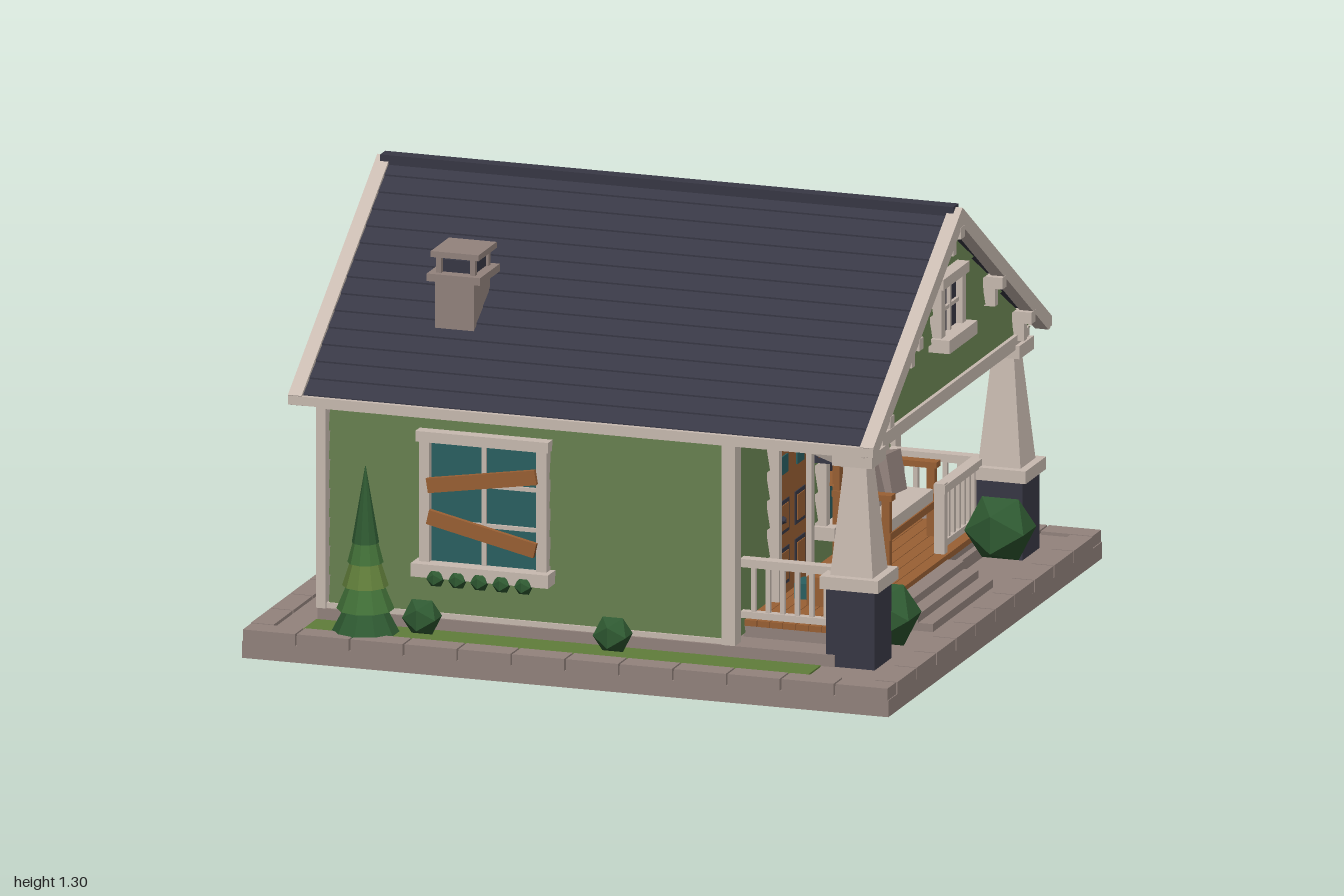
import * as THREE from 'three';

const mat = (name, color) => new THREE.MeshStandardMaterial({ name, color });

export function createModel() {
  const root = new THREE.Group();
  root.name = 'cottage';
  const M = {
    navy: mat('slate navy', 0x383845), green: mat('siding green', 0x627a4c), trim: mat('cream trim', 0xc9bbb1),
    stone: mat('brown stone', 0x93837d), wood: mat('warm wood', 0x9a6034), teal: mat('teal glass', 0x2a6062),
    leaf: mat('dark leaf', 0x2f5a32), grass: mat('grass green', 0x617e3a), mid: mat('mid leaf', 0x427038),
  };

  const add = (name, geo, m, x = 0, y = 0, z = 0, parent = root) => {
    const mesh = new THREE.Mesh(geo, m);
    mesh.name = name;
    mesh.position.set(x, y, z);
    parent.add(mesh);
    return mesh;
  };
  // box given by its limits
  const box = (name, m, x0, x1, y0, y1, z0, z1, parent = root) =>
    add(name, new THREE.BoxGeometry(x1 - x0, y1 - y0, z1 - z0), m, (x0 + x1) / 2, (y0 + y1) / 2, (z0 + z1) / 2, parent);
  const group = (name, x, y, z, turn = 0, parent = root) => {
    const g = new THREE.Group();
    g.name = name;
    g.position.set(x, y, z);
    g.rotation.y = turn;
    parent.add(g);
    return g;
  };
  const flat = (geo) => {
    const g = geo.toNonIndexed();
    g.computeVertexNormals();
    return g;
  };
  // faceted frustum; four sides make a square one aligned to the axes
  const frustum = (top, bottom, h, n) => {
    const k = n === 4 ? Math.SQRT2 : 1;
    const g = new THREE.CylinderGeometry(top * k, bottom * k, h, n);
    if (n === 4) g.rotateY(Math.PI / 4);
    return flat(g);
  };
  // profile in (z, y) stretched along x
  const extrudeX = (pts, x0, x1) => new THREE.ExtrudeGeometry(
    new THREE.Shape(pts.map(p => new THREE.Vector2(...p))), { depth: x1 - x0, bevelEnabled: false })
    .rotateY(Math.PI / 2).translate(x0, 0, 0);
  // bar between two points
  const bar = (name, m, a, b, t, parent = root) => {
    const A = new THREE.Vector3(...a), B = new THREE.Vector3(...b);
    const mesh = add(name, new THREE.BoxGeometry(t, t, A.distanceTo(B)), m, 0, 0, 0, parent);
    mesh.position.copy(A).add(B).multiplyScalar(0.5);
    mesh.quaternion.setFromUnitVectors(new THREE.Vector3(0, 0, 1), B.sub(A).normalize());
  };
  // overlapping boards facing local +z, with half width as a function of height
  const siding = (name, y0, y1, n, half, x, z, turn) => {
    const p = [], h = (y1 - y0) / n, o = 0.014;
    const quad = (a, b, c, d) => p.push(...a, ...b, ...c, ...a, ...c, ...d);
    for (let i = 0; i < n; i++) {
      const yb = y0 + i * h, yt = yb + h, hb = half(yb), ht = half(yt);
      quad([-hb, yb, o], [hb, yb, o], [ht, yt, 0], [-ht, yt, 0]);
      quad([-hb, yb, 0], [hb, yb, 0], [hb, yb, o], [-hb, yb, o]);
    }
    const g = new THREE.BufferGeometry();
    g.setAttribute('position', new THREE.Float32BufferAttribute(p, 3));
    g.computeVertexNormals();
    add(name, g, M.green, x, 0, z).rotation.y = turn;
  };
  const Q = Math.PI / 2;

  // stone base with a ring of curb stones
  box('baseSlab', M.stone, -1, 1, 0, 0.05, -0.94, 0.94);
  box('ground', M.stone, -0.985, 0.985, 0.05, 0.076, -0.925, 0.925);
  for (const s of [-1, 1]) {
    for (let i = 0; i < 12; i++) {
      const x = -1 + i / 6;
      box('curbStone', M.stone, x + 0.003, x + 1 / 6 - 0.003, 0.05, 0.086, s * 0.903 - 0.037, s * 0.903 + 0.037);
    }
    for (let i = 0; i < 10; i++) {
      const z = -0.862 + i * 0.1724;
      box('curbStone', M.stone, s * 0.965 - 0.035, s * 0.965 + 0.035, 0.05, 0.086, z + 0.003, z + 0.1694);
    }
    box('grassStrip', M.grass, -0.84, 0.72, 0.076, 0.081, s * 0.8 - 0.06, s * 0.8 + 0.06);
  }
  box('foundation', M.stone, -0.84, 0.76, 0.07, 0.112, -0.73, 0.73);

  // house walls
  box('houseCore', M.green, -0.81, 0.43, 0.11, 0.74, -0.7, 0.7);
  for (const s of [-1, 1]) siding('sideSiding', 0.125, 0.735, 7, () => 0.62, -0.19, s * 0.702, s > 0 ? 0 : Math.PI);
  siding('porchSiding', 0.125, 0.735, 7, () => 0.7, 0.432, 0, Q);
  siding('backSiding', 0.125, 0.735, 7, () => 0.7, -0.812, 0, -Q);
  const gableHalf = y => Math.max(0, (1.245 - y) / 0.68);
  siding('backGableSiding', 0.735, 1.245, 6, gableHalf, -0.812, 0, -Q);
  siding('frontGableSiding', 0.735, 1.245, 6, gableHalf, 0.832, 0, Q);
  const gable = [[-0.75, 0.735], [0.75, 0.735], [0, 1.245]];
  add('backGable', extrudeX(gable, -0.81, -0.78), M.green);
  add('frontGable', extrudeX(gable, 0.8, 0.83), M.green);
  for (const s of [-1, 1]) {
    box('frontCorner', M.trim, 0.41, 0.452, 0.112, 0.735, s * 0.705 - 0.025, s * 0.705 + 0.025);
    box('backCorner', M.trim, -0.845, -0.815, 0.112, 0.735, s * 0.705 - 0.025, s * 0.705 + 0.025);
    box('sideSkirt', M.trim, -0.83, 0.43, 0.108, 0.128, s * 0.71 - 0.012, s * 0.71 + 0.012);
    box('eaveBeam', M.trim, -0.82, 0.85, 0.715, 0.745, s * 0.7 - 0.03, s * 0.7 + 0.03);
  }
  box('backSkirt', M.trim, -0.835, -0.81, 0.108, 0.128, -0.7, 0.7);
  box('backBand', M.trim, -0.835, -0.81, 0.715, 0.745, -0.7, 0.7);

  // roof with shallow shingle courses
  const slope = z => 1.28 - 0.675 * z, right = [], n = 14;
  for (let i = 0; i < n; i++) {
    const a = 0.77 * i / n, b = 0.77 * (i + 1) / n;
    right.push([a, slope(a)], [b, slope(b) + 0.005]);
  }
  const left = right.map(([z, y]) => [-z, y]).reverse();
  add('roof', extrudeX([...right, [0.77, 0.74], [0, 1.245], [-0.77, 0.74], ...left.slice(0, -1)], -0.872, 0.857), M.navy);
  const barge = [[0, 1.292], [0.786, 0.764], [0.77, 0.73], [0.755, 0.73], [0, 1.236], [-0.755, 0.73], [-0.77, 0.73], [-0.786, 0.764]];
  for (const x of [-0.912, 0.857]) add('bargeBoard', extrudeX(barge, x, x + 0.042), M.trim);
  for (const s of [-1, 1]) box('fascia', M.trim, -0.912, 0.899, 0.735, 0.762, s * 0.776 - 0.01, s * 0.776 + 0.01);
  box('ridgeCap', M.navy, -0.895, 0.878, 1.268, 1.297, -0.022, 0.022);
  box('porchCeiling', M.navy, 0.43, 0.83, 0.735, 0.742, -0.72, 0.72);
  box('porchBeam', M.trim, 0.78, 0.856, 0.707, 0.748, -0.7, 0.7);

  // gable brackets under the roof edge
  for (const x of [0.87, -0.85]) for (const [z, y] of [[0, 1.2], [0.365, 0.955], [-0.365, 0.955], [0.62, 0.785], [-0.62, 0.785]]) {
    box('bracketArm', M.trim, x - 0.03, x + 0.03, y, y + 0.035, z - 0.018, z + 0.018);
    box('bracketFoot', M.trim, x - 0.03, x + 0.005, y - 0.055, y, z - 0.013, z + 0.013);
  }

  // chimney
  box('chimney', M.stone, -0.55, -0.43, 0.88, 1.08, 0.38, 0.52);
  box('chimneyLedge', M.stone, -0.57, -0.405, 1.075, 1.098, 0.363, 0.537);
  box('chimneyFlue', M.navy, -0.54, -0.435, 1.098, 1.135, 0.4, 0.5);
  for (const x of [-0.54, -0.435]) for (const z of [0.39, 0.51]) box('chimneyPost', M.stone, x - 0.008, x + 0.008, 1.098, 1.148, z - 0.008, z + 0.008);
  box('chimneyCap', M.stone, -0.56, -0.412, 1.147, 1.165, 0.37, 0.53);

  // windows, built facing local +z
  const makeWindow = (name, x, z, turn, w, y0, y1, { broken = false, planks = true, rows = 3, glass = M.teal } = {}) => {
    const g = group(name, x, 0, z, turn), h = w / 2, c = 0.032, ym = (y0 + y1) / 2;
    for (const s of [-1, 1]) box('casing', M.trim, s * (h - c / 2) - c / 2, s * (h - c / 2) + c / 2, y0, y1, -0.01, 0.026, g);
    box('head', M.trim, -h - 0.008, h + 0.008, y1 - 0.032, y1, -0.01, 0.034, g);
    box('sill', M.trim, -h - 0.015, h + 0.015, y0, y0 + 0.04, -0.01, 0.056, g);
    const gx = h - c, b = y0 + 0.04, t = y1 - 0.032;
    box('glass', broken ? M.navy : glass, -gx, gx, b, t, 0.001, 0.006, g);
    if (broken) {
      const v = ([a, d]) => new THREE.Vector2(a * gx, (b + t) / 2 + d * (t - b) / 2);
      const pane = new THREE.Shape([[-1, -1], [1, -1], [1, 1], [-1, 1]].map(v));
      pane.holes.push(new THREE.Path([[-0.85, -0.5], [-0.5, 0.1], [-0.9, 0.55], [-0.35, 0.5], [-0.1, 0.9], [0.15, 0.5],
        [0.85, 0.85], [0.55, 0.2], [0.9, -0.3], [0.4, -0.4], [0.1, -0.9], [-0.25, -0.45]].map(v)));
      add('shards', new THREE.ShapeGeometry(pane), M.teal, 0, 0, 0.0085, g);
    }
    box('mullion', M.trim, -0.007, 0.007, b, t, 0, 0.016, g);
    for (let i = 1; i < rows; i++) {
      const y = b + (t - b) * i / rows;
      box('crossbar', M.trim, -gx, gx, y - 0.006, y + 0.006, 0, 0.015, g);
    }
    if (planks) for (const [dy, a] of [[0.083, 0.16], [-0.075, -0.22]]) {
      add('plank', new THREE.BoxGeometry(w - 0.055, 0.044, 0.016), M.wood, 0, ym + dy, 0.032, g).rotation.z = a;
    }
    return g;
  };
  for (const s of [-1, 1]) {
    const g = makeWindow('sideWindow', -0.325, s * 0.716, s > 0 ? 0 : Math.PI, 0.395, 0.245, 0.68, { broken: s < 0 });
    for (let i = -2; i <= 2; i++) add('sillBush', new THREE.IcosahedronGeometry(0.029, 0), M.leaf, i * 0.068, 0.245, 0.05, g);
    makeWindow('backWindow', -0.826, s * 0.3, -Q, 0.395, 0.245, 0.68, { broken: s > 0 });
  }
  makeWindow('porchWindow', 0.446, -0.18, Q, 0.325, 0.245, 0.69, { broken: true });
  makeWindow('gableWindow', 0.846, 0, Q, 0.215, 0.88, 1.1, { planks: false, rows: 2, glass: M.navy });

  // front door, built facing local +z
  const door = group('frontDoor', 0.446, 0, 0.25, Q);
  box('doorLeaf', M.wood, -0.128, 0.128, 0.16, 0.64, 0, 0.012, door);
  for (const s of [-1, 1]) {
    box('doorCasing', M.trim, s * 0.142 - 0.014, s * 0.142 + 0.014, 0.155, 0.64, -0.01, 0.028, door);
    box('doorPane', M.teal, s * 0.07 - 0.03, s * 0.07 + 0.03, 0.53, 0.585, 0.011, 0.016, door);
    for (const [y, h] of [[0.4, 0.05], [0.25, 0.056]]) {
      box('panelGroove', M.navy, s * 0.07 - 0.043, s * 0.07 + 0.043, y - h, y + h, 0.011, 0.015, door);
      box('panelFace', M.wood, s * 0.07 - 0.031, s * 0.07 + 0.031, y - h + 0.012, y + h - 0.012, 0.012, 0.018, door);
    }
  }
  box('doorHead', M.trim, -0.158, 0.158, 0.635, 0.668, -0.01, 0.034, door);
  add('doorKnob', new THREE.IcosahedronGeometry(0.013, 0), M.navy, -0.11, 0.4, 0.024, door);

  // porch deck and steps
  box('deckBase', M.stone, 0.44, 0.74, 0.1, 0.145, -0.62, 0.62);
  for (let i = 0; i < 8; i++) box('deckBoard', M.wood, 0.442 + i * 0.04, 0.48 + i * 0.04, 0.145, 0.163, -0.62, 0.62);
  for (let i = 0; i < 3; i++) box('step', M.stone, 0.74, 0.9 - i * 0.045, 0.076 + i * 0.024, 0.1 + i * 0.024, -0.265, 0.265);

  // tapered porch columns, braces and railings
  for (const s of [-1, 1]) {
    const c = group('porchColumn', 0.807, 0, s * 0.65);
    box('pier', M.navy, -0.075, 0.075, 0.076, 0.315, -0.075, 0.075, c);
    box('pierCap', M.trim, -0.09, 0.09, 0.312, 0.35, -0.09, 0.09, c);
    add('shaft', frustum(0.034, 0.066, 0.335, 4), M.trim, 0, 0.515, 0, c);
    box('capital', M.trim, -0.062, 0.062, 0.68, 0.72, -0.062, 0.062, c);
    bar('brace', M.trim, [-0.19, 0.73, 0], [-0.03, 0.675, 0], 0.028, c);
    const r = group('sideRailing', 0, 0, s * 0.65);
    box('topRail', M.trim, 0.445, 0.74, 0.335, 0.36, -0.018, 0.018, r);
    box('bottomRail', M.trim, 0.445, 0.74, 0.18, 0.2, -0.012, 0.012, r);
    for (let i = 0; i < 6; i++) box('baluster', M.trim, 0.475 + i * 0.045, 0.489 + i * 0.045, 0.2, 0.335, -0.007, 0.007, r);
  }
  const rail = group('frontRailing', 0.735, 0, 0);
  box('topRail', M.trim, -0.018, 0.018, 0.345, 0.37, -0.6, -0.26, rail);
  box('bottomRail', M.trim, -0.012, 0.012, 0.18, 0.2, -0.6, -0.26, rail);
  box('newel', M.trim, -0.016, 0.016, 0.163, 0.375, -0.29, -0.26, rail);
  for (let i = 0; i < 6; i++) box('baluster', M.trim, -0.007, 0.007, 0.2, 0.345, -0.342 - i * 0.045, -0.328 - i * 0.045, rail);

  // bench with cushions
  const bench = group('bench', 0.48, 0, -0.255);
  box('seat', M.wood, 0, 0.18, 0.25, 0.272, -0.21, 0.21, bench);
  box('backFrame', M.wood, 0, 0.022, 0.265, 0.465, -0.21, 0.21, bench);
  box('seatCushion', M.trim, 0.02, 0.175, 0.272, 0.308, -0.18, 0.18, bench);
  box('backCushion', M.trim, 0.02, 0.04, 0.308, 0.45, -0.18, 0.18, bench);
  for (const s of [-1, 1]) {
    for (const x of [0.012, 0.165]) box('leg', M.wood, x - 0.012, x + 0.012, 0.163, 0.37, s * 0.198 - 0.012, s * 0.198 + 0.012, bench);
    box('armrest', M.wood, 0, 0.185, 0.37, 0.388, s * 0.198 - 0.018, s * 0.198 + 0.018, bench);
    const p = add('pillow', new THREE.BoxGeometry(0.04, 0.12, 0.13), M.stone, 0.072, 0.37, s * 0.095, bench);
    p.rotation.set(s * 0.1, 0, 0.2);
  }

  // wall lantern
  const lamp = group('lantern', 0.5, 0, 0.06);
  bar('lampArm', M.navy, [-0.06, 0.595, 0], [0, 0.595, 0], 0.014, lamp);
  add('lampRoof', frustum(0.008, 0.042, 0.035, 6), M.navy, 0, 0.6, 0, lamp);
  box('lampGlow', M.wood, -0.022, 0.022, 0.52, 0.585, -0.022, 0.022, lamp);
  for (const x of [-0.024, 0.024]) for (const z of [-0.024, 0.024]) box('lampPost', M.navy, x - 0.006, x + 0.006, 0.51, 0.585, z - 0.006, z + 0.006, lamp);
  box('lampBase', M.navy, -0.03, 0.03, 0.505, 0.52, -0.03, 0.03, lamp);

  // hanging flower basket
  const basket = group('hangingBasket', 0.54, 0, -0.495);
  add('basketPot', frustum(0.044, 0.03, 0.055, 8), M.stone, 0, 0.52, 0, basket);
  add('basketRim', frustum(0.048, 0.048, 0.012, 8), M.stone, 0, 0.55, 0, basket);
  for (let i = 0; i < 3; i++) {
    const a = i * 2.094 + 0.5, c = Math.cos(a), s = Math.sin(a);
    bar('basketCord', M.wood, [c * 0.043, 0.55, s * 0.043], [0, 0.735, 0], 0.005, basket);
    add('basketLeaves', new THREE.IcosahedronGeometry(0.027, 0), M.leaf, c * 0.02, 0.568, s * 0.02, basket);
  }

  // crate with a pot beside the door
  box('crate', M.wood, 0.56, 0.63, 0.163, 0.25, 0.35, 0.41);
  box('crateBin', M.teal, 0.5, 0.56, 0.163, 0.21, 0.27, 0.35);

  // garden plants
  for (const s of [-1, 1]) {
    const tree = group('coneTree', -0.66, 0, s * 0.82);
    [[0.1, 0.09, 0.16, M.leaf], [0.085, 0.16, 0.17, M.mid], [0.068, 0.23, 0.18, M.grass], [0.053, 0.3, 0.17, M.mid], [0.04, 0.36, 0.2, M.leaf]]
      .forEach(([r, y, h, m]) => add('treeTier', frustum(0.001, r, h + 0.03, 10), m, 0, y + h / 2 + 0.005, 0, tree));
    for (const x of [-0.485, 0.105]) add('smallBush', new THREE.IcosahedronGeometry(0.06, 0), M.leaf, x, 0.14, s * 0.82);
    add('largeBush', new THREE.IcosahedronGeometry(0.108, 0), M.leaf, 0.838, 0.188, s * 0.505);
  }
  return root;
}
